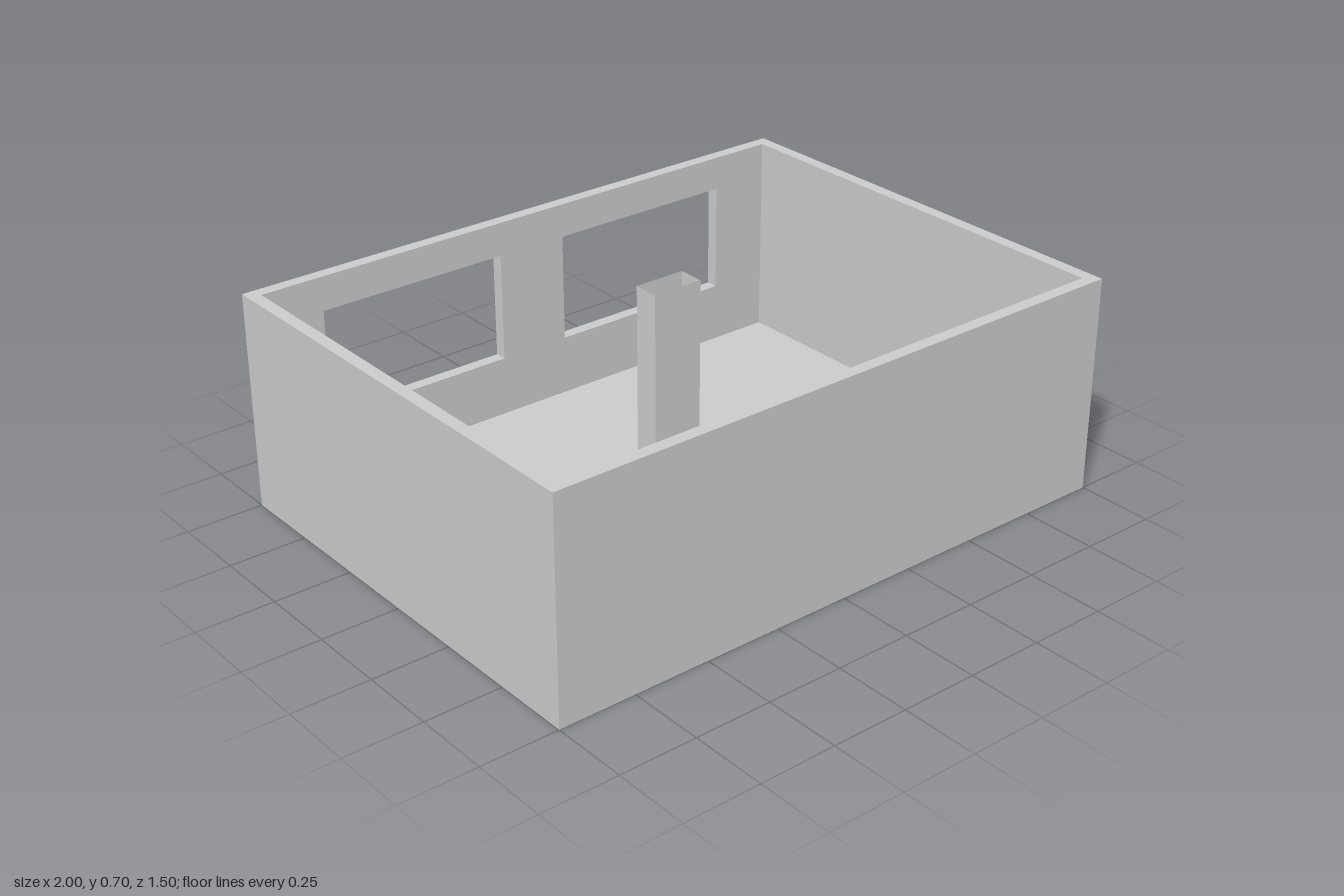
import * as THREE from 'three';

const W = 2, H = 0.7, D = 1.5; // overall size
const T = 0.04;                // wall and floor thickness

export function createModel() {
  const model = new THREE.Group();
  model.name = 'room';
  const grey = new THREE.MeshStandardMaterial({ color: 0xcccccc, flatShading: true });
  const thin = new THREE.MeshStandardMaterial({ color: 0xcccccc, flatShading: true, side: THREE.DoubleSide });

  function add(name, geometry, x, y, z, material = grey) {
    const mesh = new THREE.Mesh(geometry, material);
    mesh.name = name;
    mesh.position.set(x, y, z);
    model.add(mesh);
  }

  function rectangle(PathType, x0, y0, x1, y1) {
    return new PathType([[x0, y0], [x1, y0], [x1, y1], [x0, y1]].map(p => new THREE.Vector2(...p)));
  }

  // Floor slab and the three solid walls
  add('floor', new THREE.BoxGeometry(W - 2 * T, T, D - 2 * T), 0, T / 2, 0);
  add('frontWall', new THREE.BoxGeometry(W, H, T), 0, H / 2, (D - T) / 2);
  for (const [name, side] of [['leftWall', 1], ['rightWall', -1]]) {
    add(name, new THREE.BoxGeometry(T, H, D - 2 * T), side * (W - T) / 2, H / 2, 0);
  }

  // Back wall with two window openings
  const back = rectangle(THREE.Shape, -W / 2, 0, W / 2, H);
  for (const x of [-0.44, 0.44]) {
    back.holes.push(rectangle(THREE.Path, x - 0.32, 0.235, x + 0.32, 0.59));
  }
  add('backWall', new THREE.ExtrudeGeometry(back, { depth: T, bevelEnabled: false }), 0, 0, -D / 2);

  // Open-topped hollow column: four thin sides
  const column = new THREE.CylinderGeometry(Math.SQRT1_2, Math.SQRT1_2, H - T, 4, 1, true);
  column.rotateY(Math.PI / 4).scale(0.17, 1, 0.085);
  add('column', column, 0, (H + T) / 2, -0.03, thin);

  return model;
}
